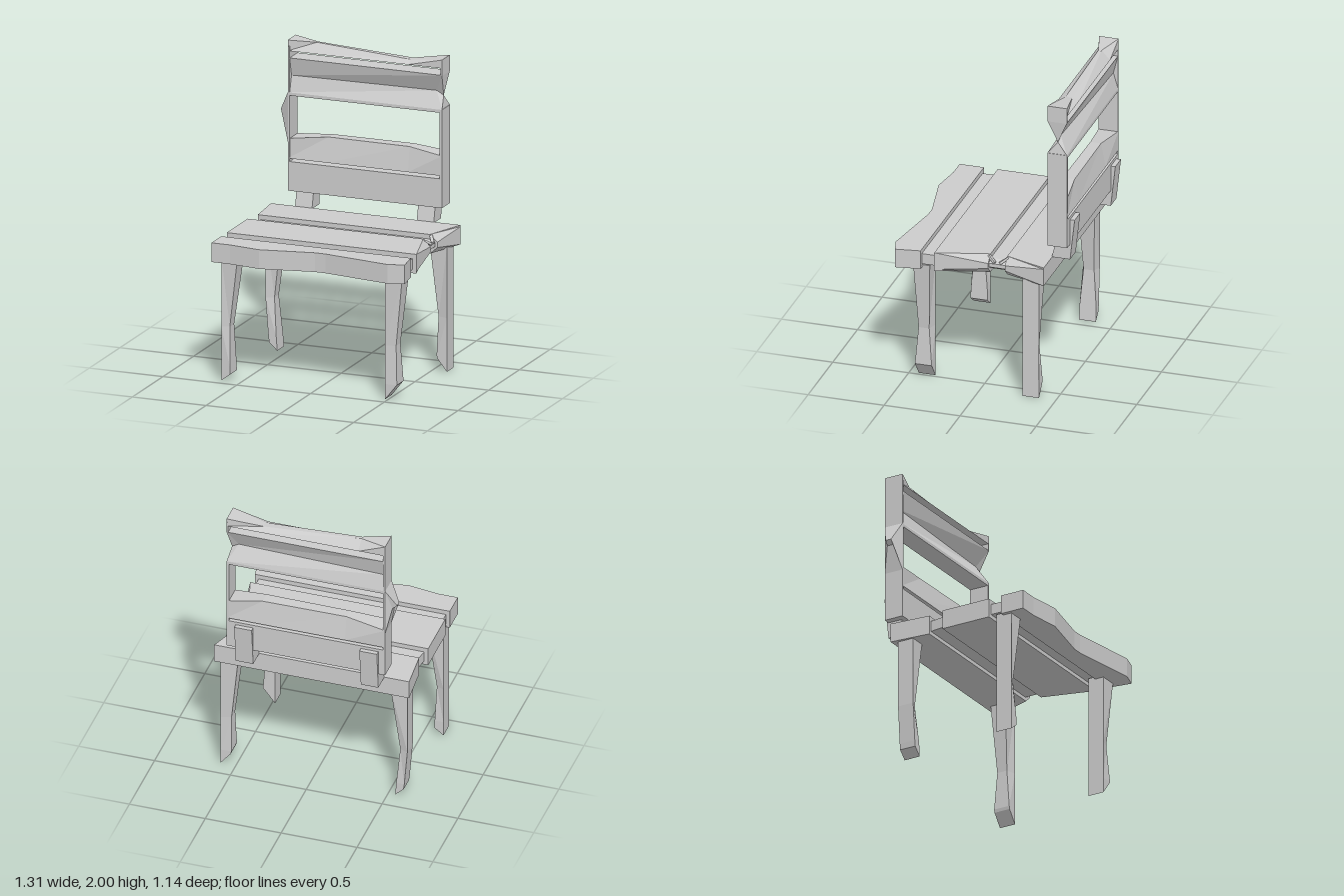
import * as THREE from 'three';

const mat = new THREE.MeshStandardMaterial({ color: 0xcccccc, flatShading: true, side: THREE.DoubleSide });

function add(group, name, geo) {
  const mesh = new THREE.Mesh(geo, mat);
  mesh.name = name;
  group.add(mesh);
  return mesh;
}

// Joins rings of points into a closed solid, with centre-fan caps
function loft(rings) {
  const tris = [];
  const n = rings[0].length;
  for (let r = 0; r + 1 < rings.length; r++) {
    const a = rings[r], b = rings[r + 1];
    for (let i = 0; i < n; i++) {
      const j = (i + 1) % n;
      tris.push([a[i], a[j], b[j]], [a[i], b[j], b[i]]);
    }
  }
  const cap = (ring, flip) => {
    const c = [0, 1, 2].map(k => ring.reduce((s, p) => s + p[k], 0) / n);
    for (let i = 0; i < n; i++) {
      const p = ring[i], q = ring[(i + 1) % n];
      tris.push(flip ? [c, q, p] : [c, p, q]);
    }
  };
  cap(rings[0], true);
  cap(rings[rings.length - 1], false);
  // Turn the faces outward, judged by signed volume
  const v = p => new THREE.Vector3(...p);
  const volume = tris.reduce((s, [a, b, c]) => s + v(a).dot(v(b).cross(v(c))), 0);
  const pos = tris.flatMap(t => (volume < 0 ? [t[0], t[2], t[1]] : t).flat());
  const geo = new THREE.BufferGeometry();
  geo.setAttribute('position', new THREE.Float32BufferAttribute(pos, 3));
  geo.computeVertexNormals();
  return geo;
}

function block(x0, x1, y0, y1, z0, z1) {
  return new THREE.BoxGeometry(x1 - x0, y1 - y0, z1 - z0)
    .translate((x0 + x1) / 2, (y0 + y1) / 2, (z0 + z1) / 2);
}

function makeSeat() {
  const seat = new THREE.Group();
  seat.name = 'seat';
  const top = 0.92, low = 0.795;
  // Section of a plank whose +x end may be chamfered
  const ring = (z, left, right, bevel, pinch) => [
    [left, low, z], [right - bevel, low, z], [right, low + pinch, z],
    [right, top - pinch, z], [right - bevel, top, z], [left, top, z]];

  add(seat, 'backPlank', loft([
    ring(-0.43, -0.655, 0.63, 0, 0.01), ring(-0.16, -0.632, 0.585, 0.05, 0.045)]));
  add(seat, 'middlePlank', loft([
    ring(-0.05, -0.655, 0.585, 0.05, 0.045), ring(0.29, -0.655, 0.63, 0, 0.01)]));

  // Front plank with a wavy worn edge
  const outline = [[-0.655, 0.38], [-0.655, 0.54], [-0.53, 0.54], [-0.32, 0.57], [0.03, 0.5],
    [0.1, 0.5], [0.55, 0.57], [0.655, 0.54], [0.63, 0.38]].map(p => new THREE.Vector2(...p));
  const front = new THREE.ExtrudeGeometry(new THREE.Shape(outline), { depth: top - low, bevelEnabled: false });
  add(seat, 'frontPlank', front.rotateX(Math.PI / 2).translate(0, top, 0));

  // Sunken strips between the planks
  add(seat, 'frontGroove', block(-0.63, 0.605, 0.82, 0.89, 0.28, 0.39));
  const strip = (z, left) => [[left, 0.82, z], [0.53, 0.82, z], [0.57, 0.845, z],
    [0.57, 0.87, z], [0.53, 0.89, z], [left, 0.89, z]];
  add(seat, 'backGroove', loft([strip(-0.17, -0.61), strip(-0.04, -0.63)]));

  // Splinters at the cracked edge
  for (const s of [-1, 1]) {
    const chip = add(seat, 'splinter', new THREE.BoxGeometry(0.02, 0.015, 0.065));
    chip.position.set(0.555, 0.895, -0.105 + s * 0.04);
    chip.rotation.set(-s * 0.6, -s * 0.5, 0);
  }
  return seat;
}

// Rows are [inner x, y, outer x, y]; the hollow side is slimmer at the knee
function makeLeg(rows, hollow, z) {
  return loft(rows.map(([x0, y0, x1, y1], i) => {
    const t = i === 1 ? 0.035 : 0.055;
    const t0 = hollow === 0 ? t : 0.055, t1 = hollow === 1 ? t : 0.055;
    return [[x0, y0, z - t0], [x1, y1, z - t1], [x1, y1, z + t1], [x0, y0, z + t0]];
  }));
}

function makeBackrest() {
  const back = new THREE.Group();
  back.name = 'backrest';
  const zc = -0.48, h = 0.065, x0 = -0.535, x1 = 0.51;
  const z0 = zc - h, z1 = zc + h;

  // Slim side stiles
  add(back, 'rightStile', block(x0, x0 + 0.013, 1.02, 1.96, z0, z1));
  add(back, 'leftStile', block(x1 - 0.015, x1, 1.02, 1.66, z0, z1));
  add(back, 'leftStileTop', block(x1 - 0.01, x1, 1.88, 1.96, z0, z1));

  // Rail with a worn upper edge; rows are [x, top y, back z, front z]
  const wornRail = (base, rows) => loft(rows.map(([x, y, zb, zf]) =>
    [[x, base, z0], [x, base, z1], [x, y, zf], [x, y, zb]]));
  add(back, 'topRail', wornRail(1.93, [
    [x0, 2, z0, z1], [-0.36, 1.99, -0.49, -0.47], [0.28, 1.952, -0.505, -0.46], [x1, 1.985, z0, z1]]));
  add(back, 'lowerSlat', wornRail(1.23, [
    [x0, 1.36, z0, z1], [-0.27, 1.39, -0.515, -0.445], [0.28, 1.39, -0.52, -0.44], [x1, 1.36, z0, z1]]));
  add(back, 'bottomSlat', block(x0, x1, 1.02, 1.21, z0, z1));

  // Upper slat, waisted in section and notched at one end
  const waist = (x, xm, m) => [[x, 1.64, z0], [x, 1.64, z1], [x, 1.66, z1], [xm, 1.765, zc + m],
    [x, 1.885, z1], [x, 1.885, z0], [xm, 1.765, zc - m], [x, 1.66, z0]];
  add(back, 'upperSlat', loft([waist(x0, x0, 0.035), waist(x1, 0.45, 0.004)]));

  // Splintered bump on the stile
  add(back, 'stileSplinter', loft([
    [[x0, 1.34, z0], [x0, 1.34, z1], [x0, 1.66, z1], [x0, 1.66, z0]],
    [[-0.57, 1.51, -0.505], [-0.57, 1.51, -0.455], [-0.6, 1.535, -0.46], [-0.6, 1.535, -0.5]]]));

  // Slanted supports joining backrest and seat
  const side = (x) => [[x, 0.915, -0.425], [x, 0.915, -0.545], [x, 1.19, -0.575], [x, 1.19, -0.49]];
  for (const [a, b] of [[-0.49, -0.375], [0.335, 0.45]])
    add(back, 'backSupport', loft([side(a), side(b)]));
  return back;
}

export function createModel() {
  const chair = new THREE.Group();
  chair.name = 'chair';
  chair.add(makeSeat(), makeBackrest());

  // Four crooked legs with split feet
  add(chair, 'frontLeftLeg', makeLeg([
    [0.48, 0.81, 0.597, 0.81], [0.48, 0.35, 0.547, 0.35], [0.48, 0.1, 0.56, 0.1], [0.48, 0, 0.555, 0.095]], 1, 0.385));
  add(chair, 'backLeftLeg', makeLeg([
    [0.485, 0.81, 0.6, 0.81], [0.535, 0.35, 0.6, 0.35], [0.53, 0.1, 0.6, 0.1], [0.535, 0.08, 0.6, 0]], 0, -0.335));
  add(chair, 'frontRightLeg', makeLeg([
    [-0.52, 0.81, -0.63, 0.81], [-0.58, 0.35, -0.63, 0.35], [-0.572, 0.1, -0.63, 0.1], [-0.57, 0.045, -0.63, 0]], 0, 0.385));
  add(chair, 'backRightLeg', makeLeg([
    [-0.52, 0.81, -0.63, 0.81], [-0.577, 0.35, -0.63, 0.35], [-0.557, 0.1, -0.61, 0.1], [-0.55, 0.01, -0.605, 0.06]], 0, -0.335));
  return chair;
}
